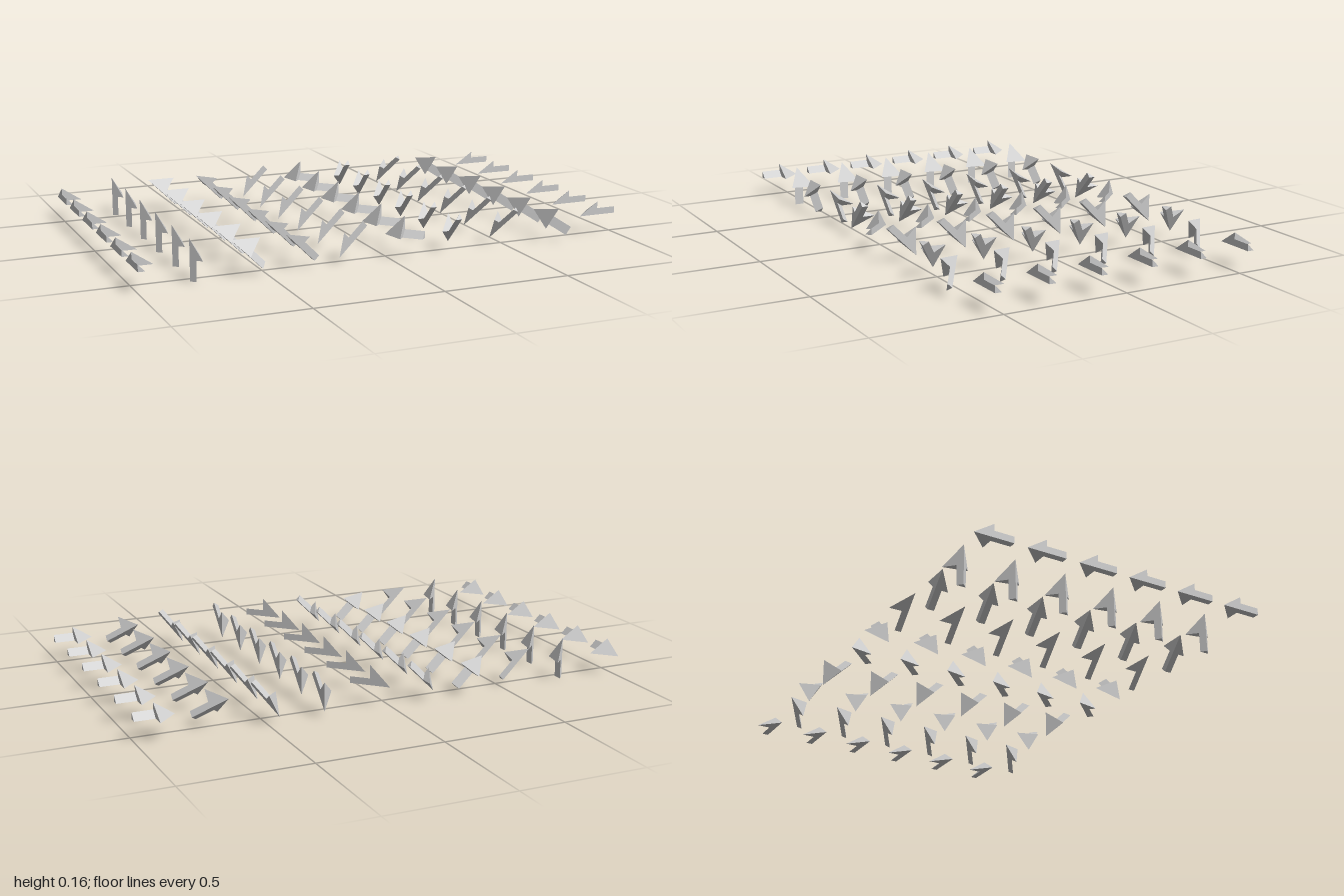
import * as THREE from 'three';
import { ConvexGeometry } from 'three/addons/geometries/ConvexGeometry.js';

const U = 2 / 75;      // one modelling unit
const PITCH = 8;       // grid spacing in units
const ROWS = 6;

// Per column: [arrow direction, direction of the head's wide side]
const R = Math.SQRT1_2;
const COLUMNS = [
  [[0, 0, -1], [1, 0, 0]],
  [[0, 1, 0], [1, 0, -1]],
  [[-1, 1, 0], [1, 1, 0]],
  [[-1, 1, 0], [0, 0, -1]],
  [[-1, -1, 0], [0, 0, -1]],
  [[-1, 0, -1], [0, 1, 0]],
  [[0, -1, -1], [0, 1, -1]],
  [[-0.5, -R, -0.5], [0.5 * R - 0.5 * 0.5 + 0.0429, 0.5, -0.8536]],
  [[-R, 0.5, -0.5], [0, 1, 1]],
  [[-1, 0, 0], [0, 0, -1]],
];

export function createModel() {
  const model = new THREE.Group();
  model.name = 'arrowGrid';
  const material = new THREE.MeshStandardMaterial({ color: 0xcccccc, flatShading: true });

  // Head: a lopsided tetrahedron pointing along -z
  const headGeometry = new ConvexGeometry([
    new THREE.Vector3(0, 0, 0),
    new THREE.Vector3(3, 0, 0),
    new THREE.Vector3(0, 2, 0),
    new THREE.Vector3(0, 0, -3),
  ]);

  // Shaft: a triangular prism along +z
  const section = new THREE.Shape([
    new THREE.Vector2(0, 0),
    new THREE.Vector2(1, 0),
    new THREE.Vector2(0, 1),
  ]);
  const shaftGeometry = new THREE.ExtrudeGeometry(section, { depth: 3, bevelEnabled: false });

  COLUMNS.forEach(([dir, wide], c) => {
    const column = new THREE.Group();
    column.name = `arrowColumn${c + 1}`;

    // Orientation shared by every arrow in the column
    const back = new THREE.Vector3(...dir).normalize().negate();
    const side = new THREE.Vector3(...wide).normalize();
    const up = new THREE.Vector3().crossVectors(back, side).normalize();
    side.crossVectors(up, back);
    const basis = new THREE.Matrix4().makeBasis(side, up, back);

    for (let r = 0; r < ROWS; r++) {
      const arrow = new THREE.Group();
      arrow.name = 'arrow';
      const head = new THREE.Mesh(headGeometry, material);
      head.name = 'arrowHead';
      const shaft = new THREE.Mesh(shaftGeometry, material);
      shaft.name = 'arrowShaft';
      arrow.add(head, shaft);
      arrow.quaternion.setFromRotationMatrix(basis);
      arrow.scale.setScalar(U);
      arrow.position.set(-1 + c * PITCH * U, 3 * U, (r - (ROWS - 1) / 2) * PITCH * U);
      column.add(arrow);
    }
    model.add(column);
  });
  return model;
}
